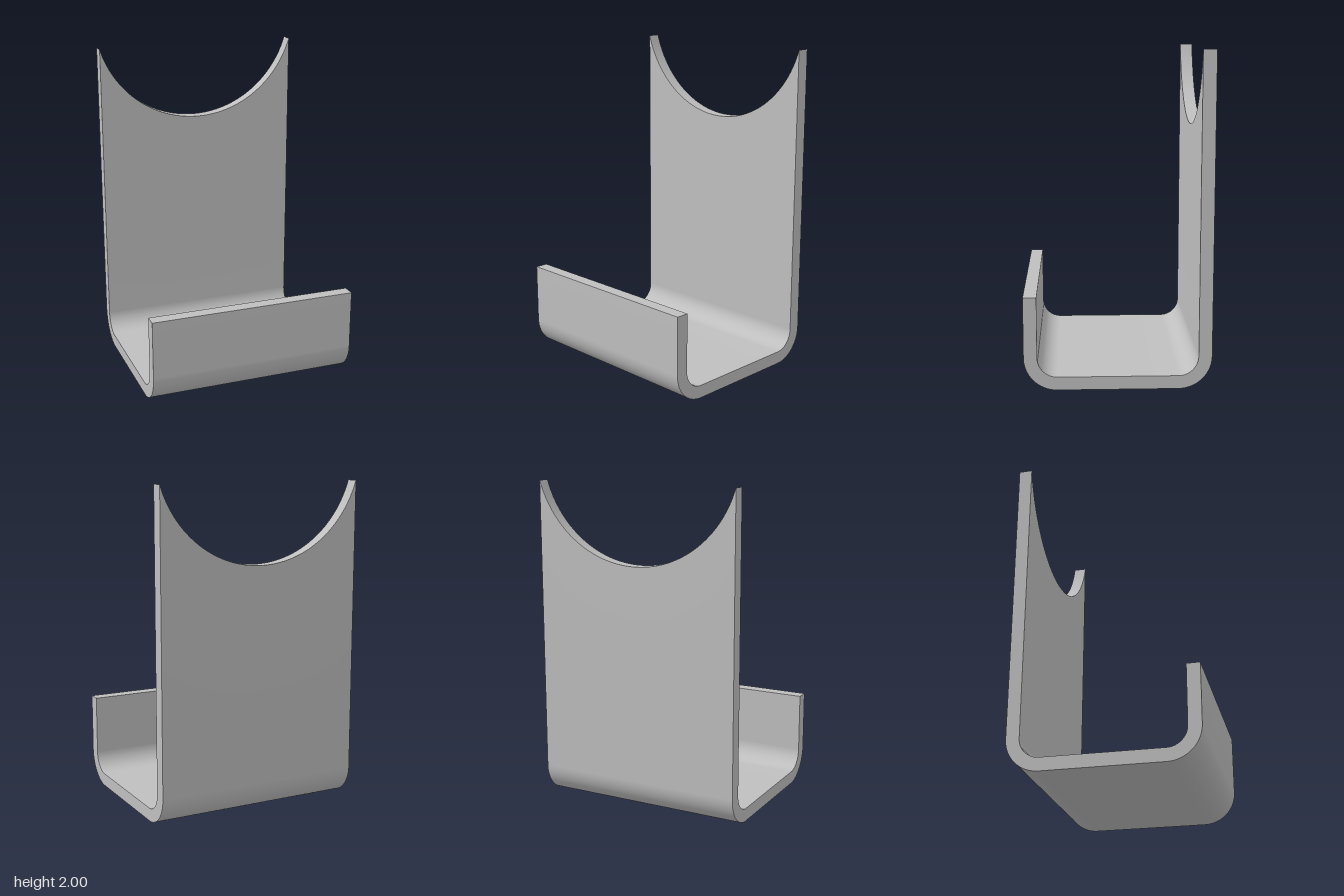
import * as THREE from 'three';
import { toCreasedNormals } from 'three/addons/utils/BufferGeometryUtils.js';

const WIDTH = 1.3, HALF_DEPTH = 0.559, THICK = 0.08;
const HEIGHT = 2, LIP = 0.565, OUTER = 0.2, INNER = OUTER - THICK;
const SCOOP_R = 0.68, SCOOP_Y = 2.2;

// J-shaped side profile; profile x becomes -z, so the tall back is at +x
function sideProfile() {
  const s = new THREE.Shape();
  const d = HALF_DEPTH, c = d - OUTER;
  s.moveTo(-d, LIP);
  s.lineTo(-d, OUTER);
  s.absarc(-c, OUTER, OUTER, Math.PI, Math.PI * 1.5, false);
  s.absarc(c, OUTER, OUTER, Math.PI * 1.5, Math.PI * 2, false);
  s.lineTo(d, HEIGHT);
  s.lineTo(d - THICK, HEIGHT);
  s.lineTo(d - THICK, OUTER);
  s.absarc(c, OUTER, INNER, 0, -Math.PI / 2, true);
  s.absarc(-c, OUTER, INNER, -Math.PI / 2, -Math.PI, true);
  s.lineTo(-d + THICK, LIP);
  s.closePath();
  return s;
}

export function createModel() {
  const grey = new THREE.MeshStandardMaterial({ color: 0xbfbfbf });
  grey.name = 'grey';

  const geo = new THREE.ExtrudeGeometry(sideProfile(), {
    depth: WIDTH, steps: 64, curveSegments: 16, bevelEnabled: false,
  });
  geo.translate(0, 0, -WIDTH / 2);
  geo.rotateY(Math.PI / 2);

  // Sink the top edge of the back plate into a round cradle
  const p = geo.attributes.position;
  for (let i = 0; i < p.count; i++) {
    if (p.getY(i) > HEIGHT - 0.001) {
      const x = p.getX(i);
      p.setY(i, Math.min(HEIGHT, SCOOP_Y - Math.sqrt(SCOOP_R ** 2 - x * x)));
    }
  }

  const bracket = new THREE.Mesh(toCreasedNormals(geo, 0.5), grey);
  bracket.name = 'hookBracket';
  // The bracket stands slightly turned about the vertical
  bracket.rotation.y = -Math.atan(0.25);

  const group = new THREE.Group();
  group.name = 'cradleBracket';
  group.add(bracket);
  return group;
}
